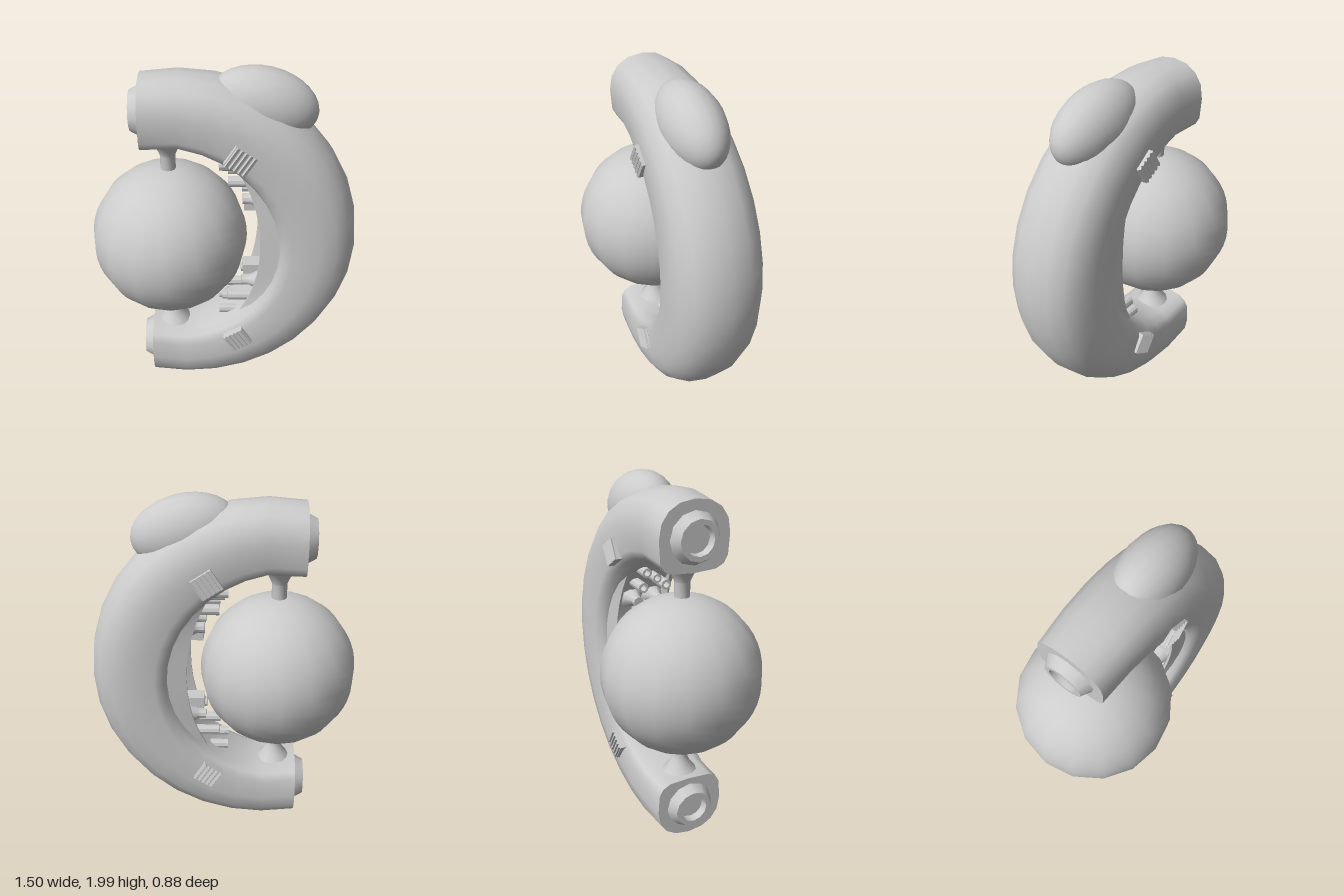
import * as THREE from 'three';
import { toCreasedNormals } from 'three/addons/utils/BufferGeometryUtils.js';

const CX = -0.237, CY = 0.99, OUTER = 0.984, END_X = -0.435;
const grey = new THREE.MeshStandardMaterial({ color: 0xcccccc });
const greyDouble = new THREE.MeshStandardMaterial({ color: 0xcccccc, side: THREE.DoubleSide });

function add(parent, name, geometry, x = 0, y = 0, z = 0, material = grey) {
  const mesh = new THREE.Mesh(geometry, material);
  mesh.name = name;
  mesh.position.set(x, y, z);
  parent.add(mesh);
  return mesh;
}

// Joins equal cross-sections into a smooth skin
function skin(rings, closed) {
  const n = rings[0].length, index = [];
  for (let i = 0; i < rings.length - 1; i++) {
    for (let j = 0; j < (closed ? n : n - 1); j++) {
      const k = (j + 1) % n;
      const a = i * n + j, b = a + n, c = i * n + k, d = c + n;
      index.push(a, b, c, b, d, c);
    }
  }
  const g = new THREE.BufferGeometry();
  g.setAttribute('position', new THREE.Float32BufferAttribute(rings.flat(2), 3));
  g.setIndex(index);
  g.computeVertexNormals();
  return g;
}

const innerRadius = (t) => 0.52 + 0.09 * Math.min(1, (t / (Math.PI / 2)) ** 2);

// One ring of the C-shaped body at angle t, rounded outside and squarer inside;
// the end rings are cut vertically
function bodyRing(t, isEnd) {
  const ri = innerRadius(t), rc = (OUTER + ri) / 2, rr = (OUTER - ri) / 2;
  const midX = isEnd ? END_X : CX + rc * Math.cos(t);
  const hz = 0.252 - 0.057 * (0.54 - midX) / 0.97;
  const ring = [];
  for (let j = 0; j < 16; j++) {
    const f = (j / 16) * Math.PI * 2, c = Math.cos(f), s = Math.sin(f);
    const p = c < -0.01 ? 2 / 4 : 2 / 2.25;
    const r = rc + rr * Math.sign(c) * Math.abs(c) ** p;
    const z = hz * Math.sign(s) * Math.abs(s) ** p;
    ring.push(isEnd ? [END_X, CY + Math.sign(t) * r * 0.983, z]
      : [CX + r * Math.cos(t), CY + r * Math.sin(t), z]);
  }
  return ring;
}

function bodyGeometry() {
  const rings = [];
  for (let i = -9; i <= 9; i++) rings.push(bodyRing(i * Math.PI / 16, Math.abs(i) === 9));
  return skin(rings, true);
}

// Flat face closing one end of the body
function endCapGeometry(side) {
  const ring = bodyRing(side * Math.PI * 9 / 16, true);
  const shape = new THREE.Shape(ring.map(([, y, z]) => new THREE.Vector2(z, y)));
  return new THREE.ShapeGeometry(shape).rotateY(-Math.PI / 2);
}

// Raised trough inside the curve, deepest at mid height
function liningGeometry() {
  const rings = [], limit = Math.PI * 0.36;
  for (let i = 0; i <= 12; i++) {
    const t = -limit + (i / 12) * limit * 2;
    const w = 1 - 0.25 * (t / limit) ** 2;
    const top = 0.437 + 0.15 * (t / (Math.PI / 3)) ** 2;
    const base = Math.max(innerRadius(t), top) + 0.04;
    const half = [[base, 0.19], [top, 0.168], [top, 0.155], [top + 0.07, 0.13]];
    const section = [...half, ...half.map(([r, z]) => [r, -z]).reverse()];
    rings.push(section.map(([r, z]) => [CX + r * Math.cos(t), CY + r * Math.sin(t), z * w]));
  }
  return toCreasedNormals(skin(rings, false), 0.5);
}

function lathe(points, segments) {
  const g = new THREE.LatheGeometry(points.map(([r, h]) => new THREE.Vector2(r, h)), segments);
  return toCreasedNormals(g, 0.6);
}

// Louvred plate, slats running toward the centre of the curve
function vent(x, y, z, angle) {
  const g = new THREE.Group();
  g.name = 'vent';
  add(g, 'ventPlate', new THREE.BoxGeometry(0.12, 0.126, 0.04));
  for (let i = 0; i < 5; i++) {
    const slat = add(g, 'ventSlat', new THREE.BoxGeometry(0.12, 0.016, 0.03), 0, (i - 2) * 0.0265, Math.sign(z) * 0.013);
    slat.rotation.x = 0.4;
  }
  g.position.set(x, y, z);
  g.rotation.z = angle;
  return g;
}

// Pipes in the upper inner curve: x start, x end, height above centre, z, radius
const pipes = [
  [-0.03, 0.16, 0.49, 0.07, 0.028], [-0.03, 0.16, 0.49, -0.07, 0.028],
  [-0.01, 0.2, 0.445, 0.0, 0.026], [0.02, 0.22, 0.39, 0.07, 0.03], [0.02, 0.22, 0.39, -0.07, 0.03],
];

export function createModel() {
  const model = new THREE.Group();
  model.name = 'curvedMachine';

  add(model, 'curvedBody', bodyGeometry());
  add(model, 'innerLining', liningGeometry(), 0, 0, 0, greyDouble);

  // Suspended ball
  add(model, 'ball', new THREE.SphereGeometry(0.44, 16, 24), -0.31, CY, 0);

  // Rounded pod on the upper shoulder
  const pod = add(model, 'shoulderPod', new THREE.SphereGeometry(1, 20, 16).rotateZ(Math.PI / 2), 0.205, 1.803, 0);
  pod.scale.set(0.29, 0.19, 0.165);
  pod.rotation.z = -0.25;

  const nozzle = lathe([[0.15, -0.02], [0.13, 0.012], [0.107, 0.055], [0.08, 0.055], [0.075, 0.01], [0, 0.01]], 12);
  const post = lathe([[0.042, 0.4], [0.042, 0.52], [0.062, 0.565], [0.1, 0.615], [0.1, 0.68]], 12);
  const flare = lathe([[0.075, 0], [0.05, 0.06], [0.03, 0.1], [0.03, 0.14], [0, 0.14]], 10);

  for (const side of [1, -1]) {
    add(model, 'endCap', endCapGeometry(side), END_X, 0, 0, greyDouble);
    add(model, 'endNozzle', nozzle, END_X, CY + side * 0.775, 0).rotation.z = Math.PI / 2;

    // Flared post holding the ball
    add(model, 'ballPost', post, -0.305, CY, 0, greyDouble).rotation.x = side > 0 ? 0 : Math.PI;

    for (const face of [1, -1]) model.add(vent(0.08, CY + side * 0.6, face * 0.222, side * 1.0));

    for (const [x0, x1, h, z, r] of pipes) {
      const len = x1 - x0;
      const pipe = lathe([[r, 0], [r, len], [r * 0.6, len], [r * 0.6, len - 0.05], [0, len - 0.05]], 10);
      add(model, 'innerPipe', pipe, x1, CY + side * h, z).rotation.z = Math.PI / 2;
    }

    // Flared plugs and a block beside the pipes
    for (const z of [0.065, -0.065]) {
      add(model, 'innerPlug', flare, 0.24, CY + side * 0.28, z).rotation.z = Math.PI / 2;
    }
    add(model, 'innerBlock', new THREE.BoxGeometry(0.16, 0.06, 0.09), 0.19, CY + side * 0.22, 0);
  }
  return model;
}
